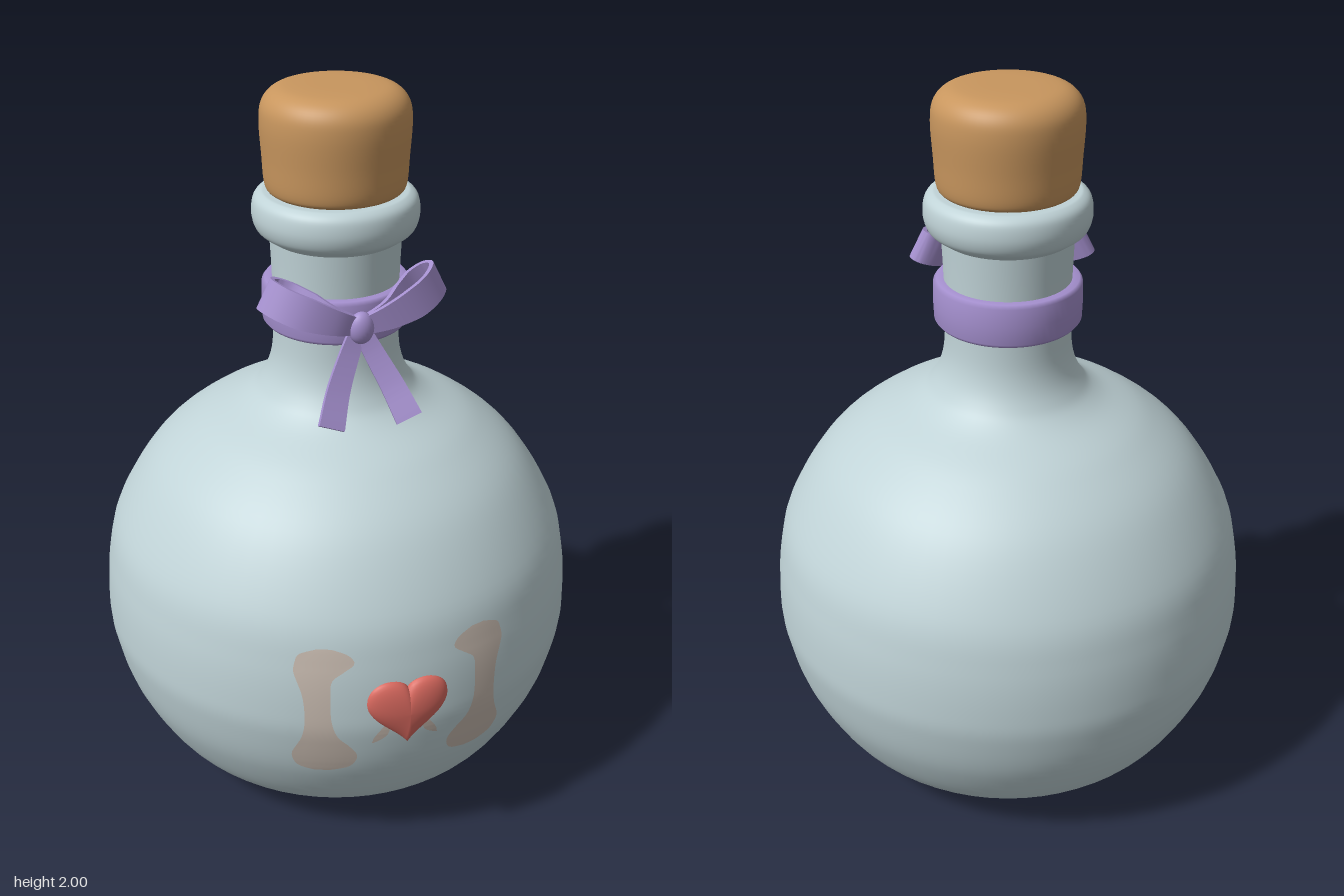
import * as THREE from 'three';
import { toCreasedNormals } from 'three/addons/utils/BufferGeometryUtils.js';

const AXIS_Z = -0.018; // z of the bottle's axis
const mat = (name, color, side = THREE.FrontSide) => {
  const m = new THREE.MeshStandardMaterial({ color, side });
  m.name = name;
  return m;
};
const V2 = ([x, y]) => new THREE.Vector2(x, y);
const smooth = (pts, n) => new THREE.SplineCurve(pts.map(V2)).getPoints(n);

// Body and neck outline as (radius, height)
const bodyProfile = smooth([
  [0.29, 0.005], [0.39, 0.038], [0.52, 0.127], [0.617, 0.29], [0.66, 0.44], [0.667, 0.54], [0.656, 0.67],
  [0.622, 0.8], [0.52, 0.965], [0.39, 1.075], [0.257, 1.145], [0.205, 1.195], [0.176, 1.27], [0.169, 1.38],
  [0.171, 1.5], [0.176, 1.62],
], 96);

function bodyRadius(y) {
  for (let i = 1; i < bodyProfile.length; i++) {
    const a = bodyProfile[i - 1], b = bodyProfile[i];
    if (y <= b.y) return a.x + (b.x - a.x) * (y - a.y) / (b.y - a.y);
  }
  return 0;
}

// Grid of points, (rows + 1) x (cols + 1), made into a surface
function gridGeometry(rows, cols, point, flip = false) {
  const pos = [], index = [];
  for (let i = 0; i <= rows; i++) for (let j = 0; j <= cols; j++) pos.push(...point(i / rows, j / cols));
  for (let i = 0; i < rows; i++) for (let j = 0; j < cols; j++) {
    const a = i * (cols + 1) + j, b = a + 1, c = a + cols + 1, d = c + 1;
    if (flip) index.push(a, c, b, b, c, d);
    else index.push(a, b, c, b, d, c);
  }
  const g = new THREE.BufferGeometry();
  g.setAttribute('position', new THREE.Float32BufferAttribute(pos, 3));
  g.setIndex(index);
  g.computeVertexNormals();
  return g;
}

// Flat ribbon with thickness, swept along a path; w is its width direction
function ribbonGeometry(points, w, widthAt, thick = 0.012, steps = 32) {
  const curve = new THREE.CatmullRomCurve3(points);
  const pos = [], rings = [];
  for (let i = 0; i <= steps; i++) {
    const t = i / steps, p = curve.getPoint(t);
    const n = curve.getTangent(t).cross(w).normalize();
    rings.push([[1, 1], [-1, 1], [-1, -1], [1, -1]].map(([a, b]) => p.clone()
      .addScaledVector(w, a * widthAt(t) / 2).addScaledVector(n, b * thick / 2)));
  }
  const quad = (a, b, c, d) => [a, b, c, a, c, d].forEach((v) => pos.push(v.x, v.y, v.z));
  for (let i = 0; i < steps; i++) for (let k = 0; k < 4; k++) {
    const m = (k + 1) % 4;
    quad(rings[i][k], rings[i][m], rings[i + 1][m], rings[i + 1][k]);
  }
  quad(...[...rings[0]].reverse());
  quad(...rings[steps]);
  const g = new THREE.BufferGeometry();
  g.setAttribute('position', new THREE.Float32BufferAttribute(pos, 3));
  return toCreasedNormals(g, 0.7);
}

// Patch lying on the body; rows are (height, inner x, outer x)
function patchGeometry(rows, side) {
  const inner = smooth(rows.map(([y, a]) => [a, y]), 40);
  const outer = smooth(rows.map(([y, , b]) => [b, y]), 40);
  return gridGeometry(40, 6, (u, v) => {
    const i = Math.round(u * 40), y = inner[i].y;
    const x = inner[i].x + (outer[i].x - inner[i].x) * v, r = bodyRadius(y) + 0.004;
    return [side * x, y, Math.sqrt(r * r - x * x) + AXIS_Z];
  }, side < 0);
}

export function createModel() {
  const group = new THREE.Group();
  const glass = mat('pale glass', 0xc0d3d7);
  const cork = mat('cork', 0xc8965e);
  const purple = mat('purple ribbon', 0xa590cf, THREE.DoubleSide);
  const red = mat('red heart', 0xd9695f);
  const beige = mat('faded label', 0xc8bbb0, THREE.DoubleSide);
  const add = (name, geometry, material, x = 0, y = 0, z = 0) => {
    const mesh = new THREE.Mesh(geometry, material);
    mesh.name = name;
    mesh.position.set(x, y, z);
    group.add(mesh);
    return mesh;
  };
  const lathe = (name, pts, material) => add(name, new THREE.LatheGeometry(pts, 64), material, 0, 0, AXIS_Z);

  // Bottle
  lathe('bottleBody', bodyProfile, glass);
  add('bottleBase', new THREE.CircleGeometry(0.291, 64).rotateX(Math.PI / 2), glass, 0, 0.003, AXIS_Z);
  lathe('bottleLip', smooth([
    [0.172, 1.6], [0.19, 1.612], [0.211, 1.63], [0.221, 1.665], [0.216, 1.705], [0.198, 1.724], [0.175, 1.727], [0.1, 1.727],
  ], 40), glass);

  // Stopper
  lathe('stopper', smooth([
    [0.14, 1.722], [0.173, 1.728], [0.186, 1.75], [0.191, 1.82], [0.196, 1.91], [0.187, 1.96], [0.155, 1.99], [0.1, 1.999], [0, 2],
  ], 48), cork);

  // Ribbon band around the neck
  const band = [[0.165, 1.365], [0.19, 1.365], [0.198, 1.375], [0.2, 1.425], [0.198, 1.475], [0.19, 1.485], [0.165, 1.485]];
  lathe('ribbonBand', band.map(V2), purple);

  // Bow: loops and tails on both sides of a knot
  const loop = [[0, 0.215], [0.07, 0.232], [0.15, 0.222], [0.205, 0.185], [0.23, 0.14], [0.215, 0.122],
    [0.175, 0.13], [0.13, 0.17], [0.08, 0.208], [0, 0.215]];
  const tail = [[0.005, 1.42, 0.205], [0.033, 1.36, 0.222], [0.072, 1.28, 0.258], [0.105, 1.2, 0.308]];
  for (const [side, label] of [[1, 'left'], [-1, 'right']]) {
    add(label + 'BowLoop', ribbonGeometry(
      loop.map(([x, z]) => new THREE.Vector3(side * x, 1.432 + x * 0.38, z)),
      new THREE.Vector3(-side * 0.44, 0.9, 0).normalize(),
      (t) => 0.045 + 0.042 * Math.min(1, 1.6 * Math.sin(Math.PI * t)), 0.012, 48), purple);
    add(label + 'BowTail', ribbonGeometry(
      tail.map(([x, y, z]) => new THREE.Vector3(side * x, y, z)),
      new THREE.Vector3(side * 0.93, 0.36, 0).normalize(),
      (t) => 0.045 + 0.027 * t), purple);
  }
  add('bowKnot', new THREE.SphereGeometry(1, 24, 16).scale(0.034, 0.044, 0.026), purple, 0, 1.432, 0.22);

  // Label scroll ends and the small scraps under the heart
  const scroll = [[0.325, 0.19, 0.23], [0.34, 0.145, 0.268], [0.365, 0.128, 0.284], [0.395, 0.127, 0.289],
    [0.43, 0.15, 0.278], [0.465, 0.18, 0.267], [0.52, 0.196, 0.261], [0.59, 0.197, 0.265], [0.64, 0.193, 0.278],
    [0.665, 0.165, 0.284], [0.69, 0.135, 0.28], [0.715, 0.15, 0.268], [0.731, 0.19, 0.225]];
  const scrap = [[0.435, 0.085, 0.09], [0.455, 0.055, 0.085], [0.48, 0.045, 0.07], [0.5, 0.05, 0.055]];
  for (const [side, label] of [[1, 'left'], [-1, 'right']]) {
    add(label + 'LabelScroll', patchGeometry(scroll, side), beige);
    add(label + 'LabelScrap', patchGeometry(scrap, side), beige);
  }

  // Domed heart
  const heart = new THREE.Shape();
  heart.moveTo(0, 0.07);
  heart.bezierCurveTo(0.02, 0.105, 0.108, 0.105, 0.109, 0.035);
  heart.bezierCurveTo(0.109, -0.025, 0.03, -0.06, 0, -0.107);
  heart.bezierCurveTo(-0.03, -0.06, -0.109, -0.025, -0.109, 0.035);
  heart.bezierCurveTo(-0.108, 0.105, -0.02, 0.105, 0, 0.07);
  const outline = heart.getPoints(14);
  const last = outline.length - 1;
  const dome = (depth) => gridGeometry(10, last, (u, v) => {
    const p = outline[Math.round(v * last)], s = Math.sin(u * Math.PI / 2);
    return [p.x * s, p.y * s, depth * Math.cos(u * Math.PI / 2)];
  }, depth > 0);
  // front dome bulges forward, shallow back dome closes it
  for (const [name, depth] of [['heartFront', 0.032], ['heartBack', -0.008]]) {
    const g = dome(depth);
    // outline runs clockwise, so the winding follows the dome's direction
    const probe = g.getAttribute('normal').getZ(5 * (last + 1) + 5);
    if (probe * depth < 0) {
      const a = g.index.array;
      for (let i = 0; i < a.length; i += 3) [a[i], a[i + 1]] = [a[i + 1], a[i]];
      g.computeVertexNormals();
    }
    add(name, g, red, 0, 0.543, 0.653);
  }
  return group;
}
